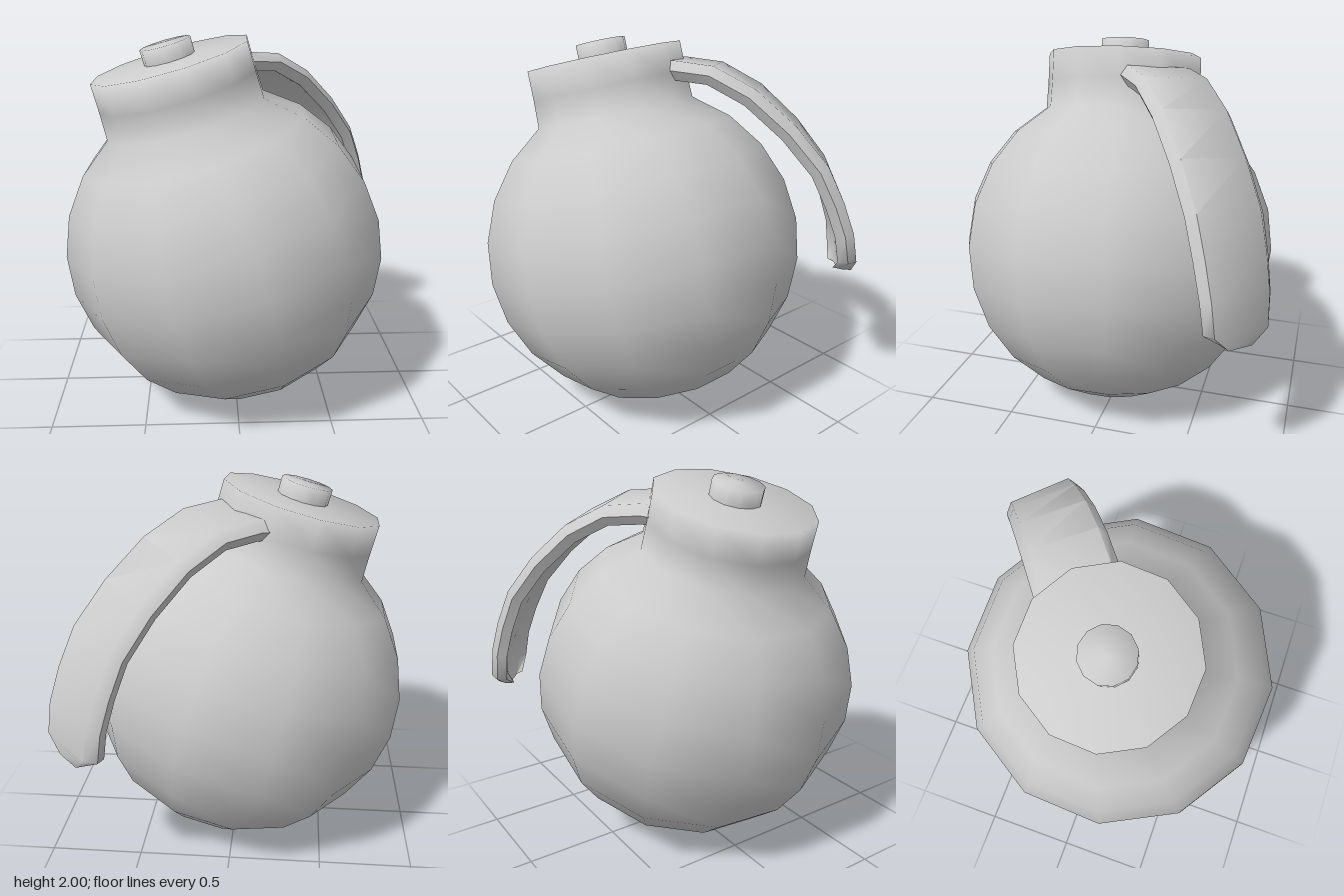
import * as THREE from 'three';
import { toCreasedNormals } from 'three/addons/utils/BufferGeometryUtils.js';

const material = new THREE.MeshStandardMaterial({ color: 0xcccccc, side: THREE.DoubleSide });
const SIDES = 12;
const RADIUS = 0.87;

function addMesh(parent, name, geometry) {
  const mesh = new THREE.Mesh(geometry, material);
  mesh.name = name;
  parent.add(mesh);
}

function lathe(points, start) {
  return new THREE.LatheGeometry(points.map(([r, y]) => new THREE.Vector2(r, y)), SIDES, start);
}

// Curved lever: a shallow channel section swept down the side of the ball
function leverGeometry() {
  // distance out from the centre, height, width factor
  const path = [
    [-0.12, 1.87, 1], [0.1, 1.89, 1], [0.31, 1.87, 1], [0.53, 1.76, 1], [0.74, 1.58, 1],
    [0.91, 1.38, 1], [1.0, 1.19, 0.98], [1.06, 1.02, 0.95], [1.085, 0.86, 0.9], [1.08, 0.78, 0.4],
  ];
  // across, offset from the outer face
  const section = [
    [-0.17, 0], [0.17, 0], [0.21, -0.05], [0.18, -0.1],
    [0.1, -0.075], [-0.1, -0.075], [-0.18, -0.1], [-0.21, -0.05],
  ];
  const n = section.length;
  const positions = [];
  const index = [];
  path.forEach(([s, y, width], i) => {
    const a = path[Math.max(i - 1, 0)];
    const b = path[Math.min(i + 1, path.length - 1)];
    const length = Math.hypot(b[0] - a[0], b[1] - a[1]);
    const ts = (b[0] - a[0]) / length;
    const ty = (b[1] - a[1]) / length;
    const twist = 0.2 * (1.9 - y) / 1.1;
    for (const [across, offset] of [...section, [0, -0.05]]) {
      const p = across * width;
      const out = s - ty * offset + twist * p;
      const side = p - 0.175;
      positions.push(0.8 * out + 0.6 * side, y + ts * offset + 0.1 * p, -0.6 * out + 0.8 * side);
    }
  });
  const stride = n + 1;
  const last = (path.length - 1) * stride;
  for (let j = 0; j < n; j++) {
    const k = (j + 1) % n;
    for (let i = 0; i < last; i += stride) {
      index.push(i + j, i + k, i + stride + k, i + j, i + stride + k, i + stride + j);
    }
    index.push(last + n, last + j, last + k); // closed tip
  }
  const geometry = new THREE.BufferGeometry();
  geometry.setAttribute('position', new THREE.Float32BufferAttribute(positions, 3));
  geometry.setIndex(index);
  return toCreasedNormals(geometry, 0.95);
}

export function createModel() {
  const model = new THREE.Group();
  model.name = 'roundCanister';

  // Ball, neck and knob share one tilted axis
  const tilted = new THREE.Group();
  tilted.name = 'tiltedBody';
  tilted.position.set(-0.06, 0.87, 0.03);
  tilted.quaternion.setFromUnitVectors(
    new THREE.Vector3(0, 1, 0),
    new THREE.Vector3(-0.265, 0.963, 0.04).normalize(),
  );
  model.add(tilted);

  // Ball runs straight into the neck, closed by a flat lid
  const profile = [];
  for (let i = 0; i <= 10; i++) {
    const angle = i * Math.PI / 12;
    profile.push([RADIUS * Math.sin(angle), -RADIUS * Math.cos(angle)]);
  }
  profile.push([0.428, 0.9], [0.425, 1.055], [0, 1.06]);
  addMesh(tilted, 'ballAndNeck', lathe(profile, THREE.MathUtils.degToRad(12)));

  // Small knob on the lid
  addMesh(tilted, 'knob', lathe([[0.135, 1.03], [0.135, 1.14], [0, 1.145]], 0));

  addMesh(model, 'lever', leverGeometry());
  return model;
}
